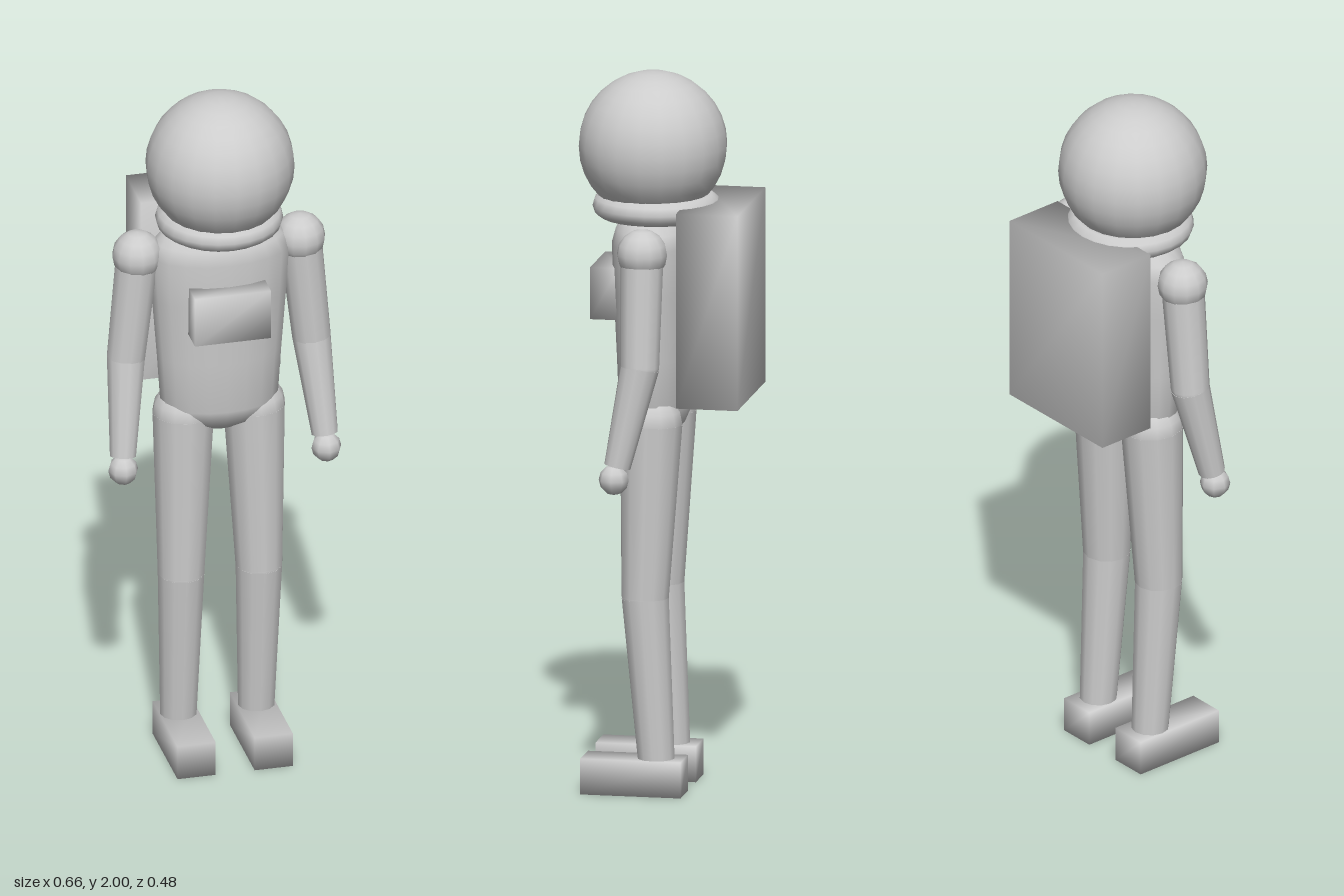
import * as THREE from 'three';
import { mergeVertices } from 'three/addons/utils/BufferGeometryUtils.js';

const lightGrey = new THREE.MeshStandardMaterial({ color: 0xcccccc });
lightGrey.name = 'lightGrey';

// Share corners so that shading runs smoothly over every edge
function smooth(geometry) {
  geometry.deleteAttribute('normal');
  geometry.deleteAttribute('uv');
  const merged = mergeVertices(geometry, 1e-4);
  merged.computeVertexNormals();
  return merged;
}

function add(parent, name, geometry, x = 0, y = 0, z = 0) {
  const mesh = new THREE.Mesh(geometry, lightGrey);
  mesh.name = name;
  mesh.position.set(x, y, z);
  parent.add(mesh);
  return mesh;
}

function ball(parent, name, p, r, w = 12, h = 8) {
  return add(parent, name, new THREE.SphereGeometry(r, w, h), ...p);
}

function box(parent, name, size, p) {
  return add(parent, name, smooth(new THREE.BoxGeometry(...size)), ...p);
}

// Tapered tube between two joints, a above b
function limb(parent, name, a, b, ra, rb) {
  const from = new THREE.Vector3(...a), to = new THREE.Vector3(...b);
  const dir = from.clone().sub(to);
  const mid = from.clone().add(to).multiplyScalar(0.5);
  const mesh = add(parent, name, new THREE.CylinderGeometry(ra, rb, dir.length(), 12), mid.x, mid.y, mid.z);
  mesh.quaternion.setFromUnitVectors(new THREE.Vector3(0, 1, 0), dir.normalize());
}

export function createModel() {
  const model = new THREE.Group();
  model.name = 'spacesuitFigure';

  // Helmet and neck ring
  ball(model, 'helmet', [0, 1.795, 0.035], 0.205, 20, 16);
  const ring = add(model, 'neckRing', new THREE.TorusGeometry(0.142, 0.034, 10, 24), 0, 1.628, 0.025);
  ring.rotation.x = Math.PI / 2;

  // Torso: turned profile flattened front to back
  const profile = [[0, 0.985], [0.06, 0.99], [0.13, 1.02], [0.166, 1.07], [0.176, 1.22],
    [0.19, 1.4], [0.198, 1.53], [0.18, 1.57], [0.14, 1.605], [0, 1.62]];
  const torso = add(model, 'torso',
    new THREE.LatheGeometry(profile.map(([x, y]) => new THREE.Vector2(x, y)), 20), 0, 0, 0.025);
  torso.scale.z = 0.6;

  // Chest panel and backpack
  box(model, 'chestPanel', [0.215, 0.145, 0.08], [-0.002, 1.393, 0.15]);
  box(model, 'backpack', [0.394, 0.545, 0.172], [0, 1.372, -0.154]);

  for (const [side, s] of [['left', 1], ['right', -1]]) {
    // Arm
    const arm = new THREE.Group();
    arm.name = side + 'Arm';
    model.add(arm);
    const shoulder = [s * 0.23, 1.535, 0.02], elbow = [s * 0.262, 1.225, 0.02], wrist = [s * 0.285, 0.95, 0.078];
    ball(arm, 'shoulder', shoulder, 0.07);
    limb(arm, 'upperArm', shoulder, elbow, 0.06, 0.054);
    ball(arm, 'elbow', elbow, 0.054);
    limb(arm, 'forearm', elbow, wrist, 0.054, 0.037);
    ball(arm, 'hand', [s * 0.287, 0.912, 0.088], 0.042, 8, 6);

    // Leg
    const leg = new THREE.Group();
    leg.name = side + 'Leg';
    model.add(leg);
    const hip = [s * 0.1, 1.035, 0.02], knee = [s * 0.11, 0.55, 0.035], ankle = [s * 0.11, 0.08, 0.003];
    ball(leg, 'hip', hip, 0.087);
    limb(leg, 'thigh', hip, knee, 0.087, 0.066);
    ball(leg, 'knee', knee, 0.066);
    limb(leg, 'shin', knee, ankle, 0.066, 0.051);
    box(leg, 'boot', [0.108, 0.1, 0.28], [s * 0.109, 0.05, 0.066]);
  }
  return model;
}
